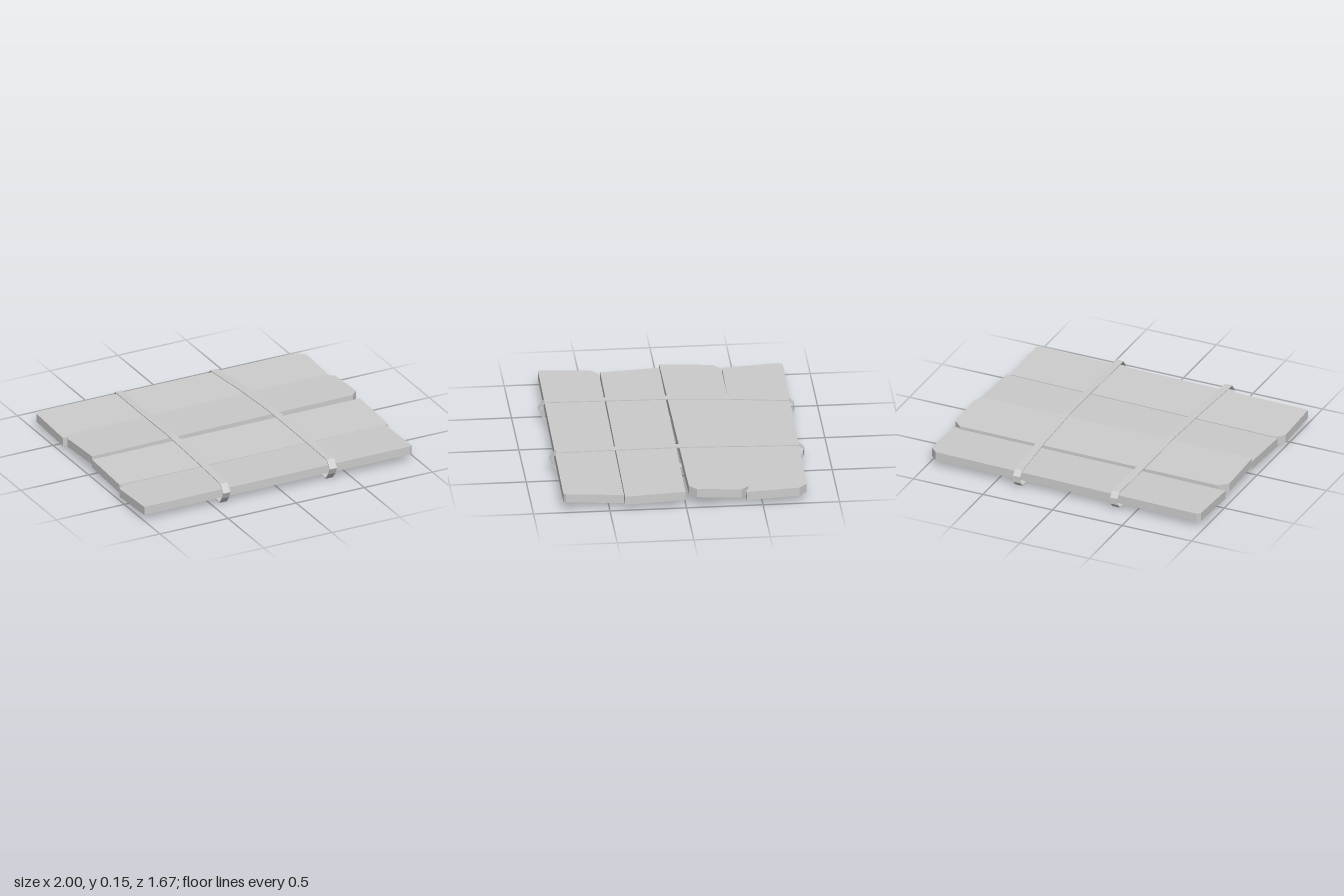
import * as THREE from 'three';

const material = new THREE.MeshStandardMaterial({ color: 0xcccccc, flatShading: true });
const THICK = 0.058;

// Plank: outline in [x, z], bottom height at zBack and zFront, slightly higher towards +x
function plank(name, outline, zBack, yBack, zFront, yFront) {
  const shape = new THREE.Shape(outline.map(([x, z]) => new THREE.Vector2(x, -z)));
  const geo = new THREE.ExtrudeGeometry(shape, { depth: THICK, bevelEnabled: false });
  geo.rotateX(-Math.PI / 2);
  const p = geo.attributes.position;
  for (let i = 0; i < p.count; i++) {
    const t = (p.getZ(i) - zBack) / (zFront - zBack);
    p.setY(i, p.getY(i) + yBack + (yFront - yBack) * t + 0.006 * (p.getX(i) - 1));
  }
  geo.computeVertexNormals();
  const mesh = new THREE.Mesh(geo, material);
  mesh.name = name;
  return mesh;
}

// Strap: closed flat band; path points are [x, y, z] of the outer surface, in loop order
function strap(name, path, width, thick) {
  const n = path.length, pos = [], idx = [];
  path.forEach(([x, y, z], i) => {
    const a = path[(i + n - 1) % n], b = path[(i + 1) % n];
    const dir = (p, q) => new THREE.Vector2(q[2] - p[2], q[1] - p[1]).normalize();
    const t = dir(a, path[i]).add(dir(path[i], b)).normalize();
    const iz = z + t.y * thick, iy = y - t.x * thick; // inner side of the loop
    const h = width / 2;
    pos.push(x - h, y, z, x + h, y, z, x + h, iy, iz, x - h, iy, iz);
    const c = i * 4, d = ((i + 1) % n) * 4;
    for (let k = 0; k < 4; k++) {
      const l = (k + 1) % 4;
      idx.push(c + k, d + k, d + l, c + k, d + l, c + l);
    }
  });
  const indexed = new THREE.BufferGeometry();
  indexed.setAttribute('position', new THREE.Float32BufferAttribute(pos, 3));
  indexed.setIndex(idx);
  const geo = indexed.toNonIndexed();
  geo.computeVertexNormals();
  const mesh = new THREE.Mesh(geo, material);
  mesh.name = name;
  return mesh;
}

export function createModel() {
  const group = new THREE.Group();
  group.name = 'strappedPlanks';

  // Four boards with clipped corners, tilted alternately
  group.add(
    plank('backPlank', [[-0.95, -0.815], [-0.97, -0.79], [-0.97, -0.42], [0.99, -0.395],
      [0.99, -0.74], [0.94, -0.79]], -0.81, 0.047, -0.4, 0.028),
    plank('middleBackPlank', [[-0.915, -0.41], [-0.97, -0.355], [-0.97, -0.01], [0.95, -0.02],
      [1, -0.07], [1, -0.36], [0.945, -0.41]], -0.41, 0.05, -0.01, 0.07),
    plank('middleFrontPlank', [[-0.97, -0.01], [-0.97, 0.375], [0.99, 0.4],
      [0.99, 0.005]], 0, 0.047, 0.4, 0.028),
    plank('frontPlank', [[-0.95, 0.385], [-1, 0.435], [-1, 0.78], [0.945, 0.8],
      [0.96, 0.785], [0.965, 0.405]], 0.4, 0.03, 0.8, 0.05)
  );

  // Two straps looped around the boards: over the top front to back, returning underneath
  const profile = [[0.79, 0.138], [0.4, 0.14], [-0.02, 0.142], [-0.4, 0.129], [-0.795, 0.111],
    [-0.828, 0.08], [-0.828, 0.04], [-0.79, 0.004], [0, 0], [0.775, 0.005], [0.81, 0.05], [0.829, 0.09]];
  const topX = {
    leftStrap: [0.36, 0.362, 0.362, 0.355, 0.337],
    rightStrap: [-0.422, -0.405, -0.39, -0.382, -0.362],
  };
  for (const [name, xs] of Object.entries(topX)) {
    const front = xs[0], back = xs[4];
    const path = profile.map(([z, y], i) =>
      [i < 5 ? xs[i] : back + (front - back) * (z + 0.83) / 1.66, y, z]);
    group.add(strap(name, path, 0.052, 0.006));
  }
  return group;
}
